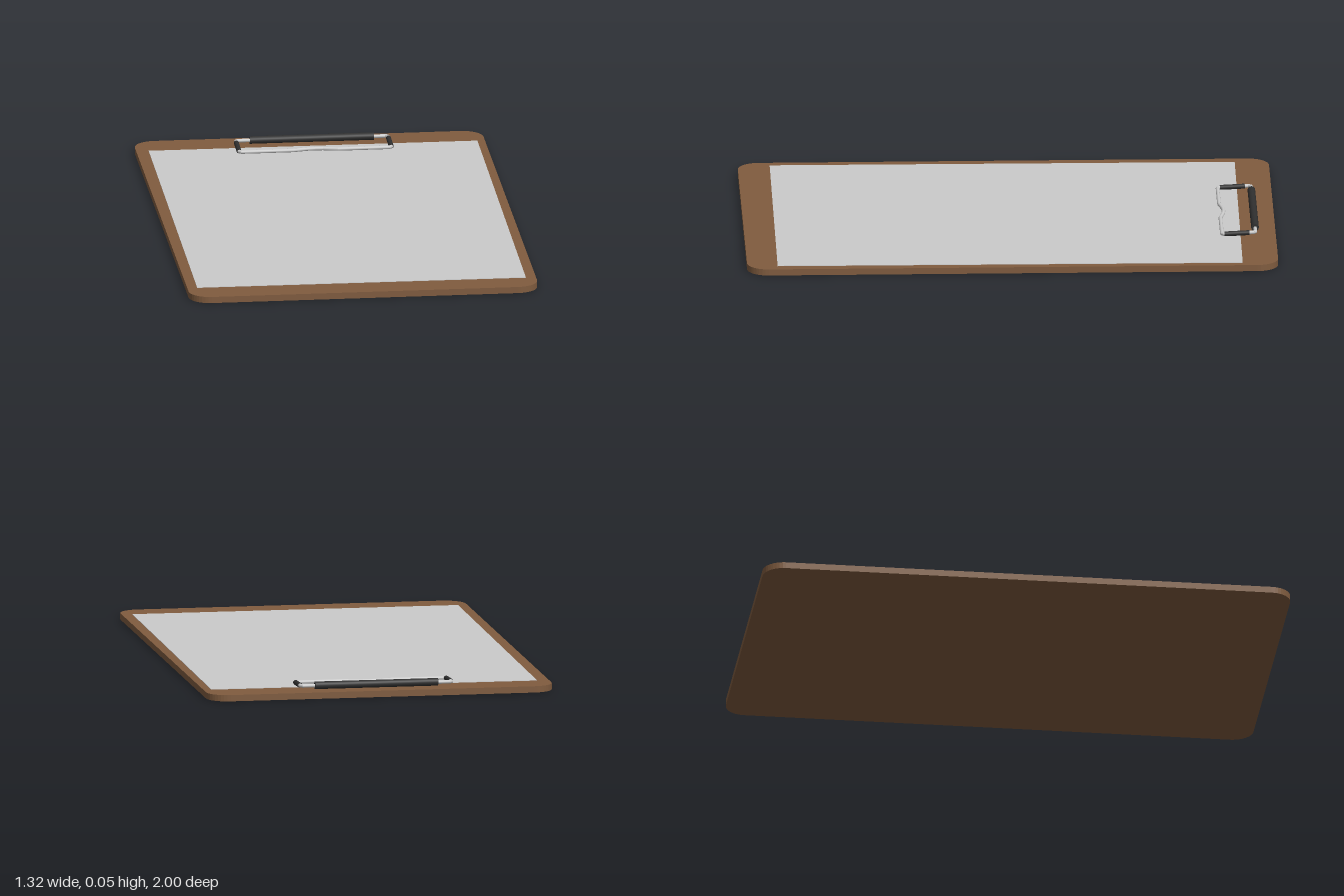
import * as THREE from 'three';

const brown = new THREE.MeshStandardMaterial({ color: 0x805c3f });
const black = new THREE.MeshStandardMaterial({ color: 0x303030 });
const grey = new THREE.MeshStandardMaterial({ color: 0xcccccc });

function add(parent, name, geometry, material) {
  const mesh = new THREE.Mesh(geometry, material);
  mesh.name = name;
  parent.add(mesh);
  return mesh;
}

// Round bar running from point a to point b
function bar(parent, name, a, b, radius, material) {
  const dir = b.clone().sub(a);
  const mesh = add(parent, name, new THREE.CylinderGeometry(radius, radius, dir.length(), 12), material);
  mesh.position.copy(a).add(b).multiplyScalar(0.5);
  mesh.quaternion.setFromUnitVectors(new THREE.Vector3(0, 1, 0), dir.normalize());
  return mesh;
}

function roundedBoard(hx, hz, r, thickness) {
  const s = new THREE.Shape();
  s.absarc(hx - r, hz - r, r, 0, Math.PI / 2);
  s.absarc(-hx + r, hz - r, r, Math.PI / 2, Math.PI);
  s.absarc(-hx + r, -hz + r, r, Math.PI, Math.PI * 1.5);
  s.absarc(hx - r, -hz + r, r, Math.PI * 1.5, Math.PI * 2);
  const g = new THREE.ExtrudeGeometry(s, { depth: thickness, bevelEnabled: false, curveSegments: 5 });
  return g.rotateX(-Math.PI / 2);
}

export function createModel() {
  const model = new THREE.Group();
  model.name = 'clipboard';

  // Backing board with rounded corners
  add(model, 'board', roundedBoard(0.66, 1, 0.08, 0.024), brown);

  // Sheet lying slightly askew
  const paper = add(model, 'paper', new THREE.BoxGeometry(1.244, 0.002, 1.751), grey);
  paper.position.set(0.004, 0.0248, 0.007);
  paper.rotation.y = -0.0055;

  // Wire clip: closed loop with a small kink in the front bar
  const clip = new THREE.Group();
  clip.name = 'clip';
  clip.position.x = 0.01;
  model.add(clip);
  const yBack = 0.038, yFront = 0.032, zBack = -0.923, zFront = -0.797, hx = 0.288;
  const points = [
    [-hx + 0.008, yBack, zBack], [hx - 0.008, yBack, zBack], [hx, yBack, zBack + 0.008],
    [hx, yFront, zFront - 0.008], [hx - 0.008, yFront, zFront],
    [0.085, yFront, zFront], [0.03, yFront, -0.809], [0, yFront, -0.811],
    [-0.03, yFront, -0.809], [-0.085, yFront, zFront],
    [-hx + 0.008, yFront, zFront], [-hx, yFront, zFront - 0.008], [-hx, yBack, zBack + 0.008],
  ].map((p) => new THREE.Vector3(...p));
  const wireRadius = 0.007;
  points.forEach((p, i) => {
    bar(clip, 'wire', p, points[(i + 1) % points.length], wireRadius, grey);
    add(clip, 'wireBend', new THREE.SphereGeometry(wireRadius, 12, 8), grey).position.copy(p);
  });

  // Dark roller on the back bar
  bar(clip, 'roller', new THREE.Vector3(-0.235, 0.039, zBack),
    new THREE.Vector3(0.235, 0.039, zBack), 0.0145, black);

  // Dark sleeves on the side bars
  for (const side of [-1, 1]) {
    bar(clip, side > 0 ? 'leftSleeve' : 'rightSleeve',
      new THREE.Vector3(side * hx, 0.037, -0.9),
      new THREE.Vector3(side * hx, 0.0325, -0.806), 0.0095, black);
  }
  return model;
}
